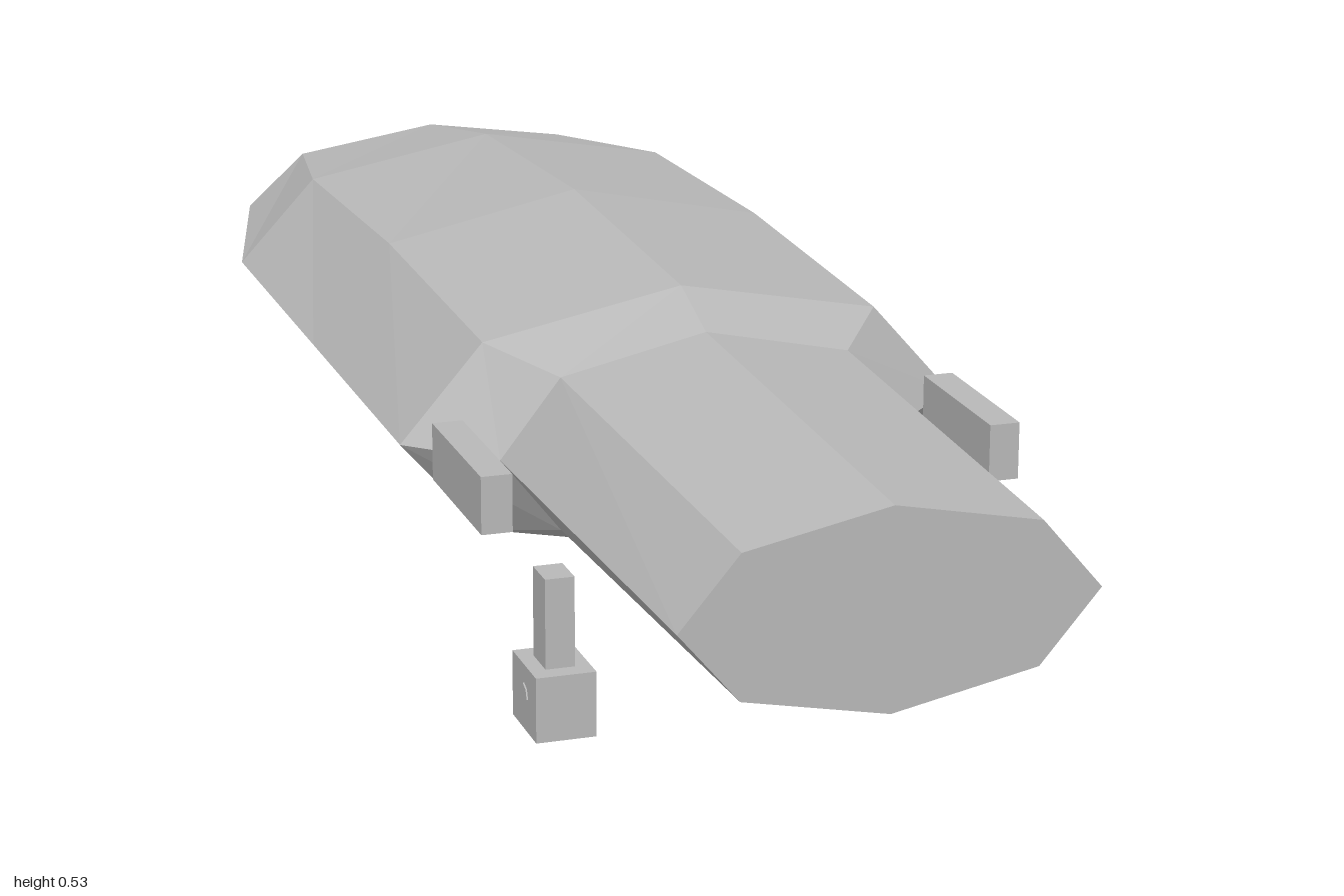
import * as THREE from 'three';

const CENTER_Y = 0.335;
const SIDES = 8;

// Hull from eight-sided cross-sections listed front to back: [z, half width, half height]
function hullGeometry(sections) {
  const pos = [], index = [];
  const id = (s, k) => s * SIDES + (k % SIDES);
  for (const [z, w, h] of sections) {
    for (let k = 0; k < SIDES; k++) {
      const a = (k / SIDES) * Math.PI * 2;
      pos.push(Math.cos(a) * w, CENTER_Y + Math.sin(a) * h, z);
    }
  }
  const last = sections.length - 1;
  for (let s = 0; s < last; s++) {
    for (let k = 0; k < SIDES; k++) {
      const a = id(s, k), b = id(s, k + 1), c = id(s + 1, k), d = id(s + 1, k + 1);
      index.push(a, c, b, b, c, d);
    }
  }
  // Flat end caps
  for (let k = 1; k < SIDES - 1; k++) {
    index.push(id(0, 0), id(0, k), id(0, k + 1));
    index.push(id(last, 0), id(last, k + 1), id(last, k));
  }
  const geo = new THREE.BufferGeometry();
  geo.setAttribute('position', new THREE.Float32BufferAttribute(pos, 3));
  geo.setIndex(index);
  const flat = geo.toNonIndexed();
  flat.computeVertexNormals();
  return flat;
}

export function createModel() {
  const model = new THREE.Group();
  model.name = 'shuttle';
  const grey = new THREE.MeshStandardMaterial({ color: 0xb8b8b8, flatShading: true });
  grey.name = 'hull grey';

  const add = (parent, name, geo, x, y, z) => {
    const mesh = new THREE.Mesh(geo, grey);
    mesh.name = name;
    mesh.position.set(x, y, z);
    parent.add(mesh);
    return mesh;
  };

  // Narrow nose, shoulder step, and wide body tapering at the tail
  add(model, 'hull', hullGeometry([
    [1, 0.26, 0.127],
    [0.34, 0.275, 0.145],
    [0.24, 0.38, 0.18],
    [-0.23, 0.38, 0.193],
    [-0.68, 0.38, 0.168],
    [-1, 0.295, 0.109],
  ]), 0, 0, 0);

  // Side pods beside the nose
  for (const side of [-1, 1]) {
    add(model, side > 0 ? 'leftPod' : 'rightPod',
      new THREE.BoxGeometry(0.04, 0.075, 0.225), side * 0.335, 0.345, 0.42);
  }

  // Landing gear: strut, block foot and small axle
  const gear = (name, x, z) => {
    const leg = new THREE.Group();
    leg.name = name;
    leg.position.set(x, 0, z);
    add(leg, 'strut', new THREE.BoxGeometry(0.039, 0.124, 0.053), 0, 0.147, 0);
    add(leg, 'foot', new THREE.BoxGeometry(0.08, 0.088, 0.105), 0, 0.044, 0);
    add(leg, 'axle', new THREE.CylinderGeometry(0.0175, 0.0175, 0.084, 8), 0, 0.046, 0)
      .rotation.z = Math.PI / 2;
    model.add(leg);
  };
  gear('frontLeftGear', 0.23, 0.423);
  gear('frontRightGear', -0.23, 0.423);
  gear('rearGear', 0, -0.577);

  return model;
}
